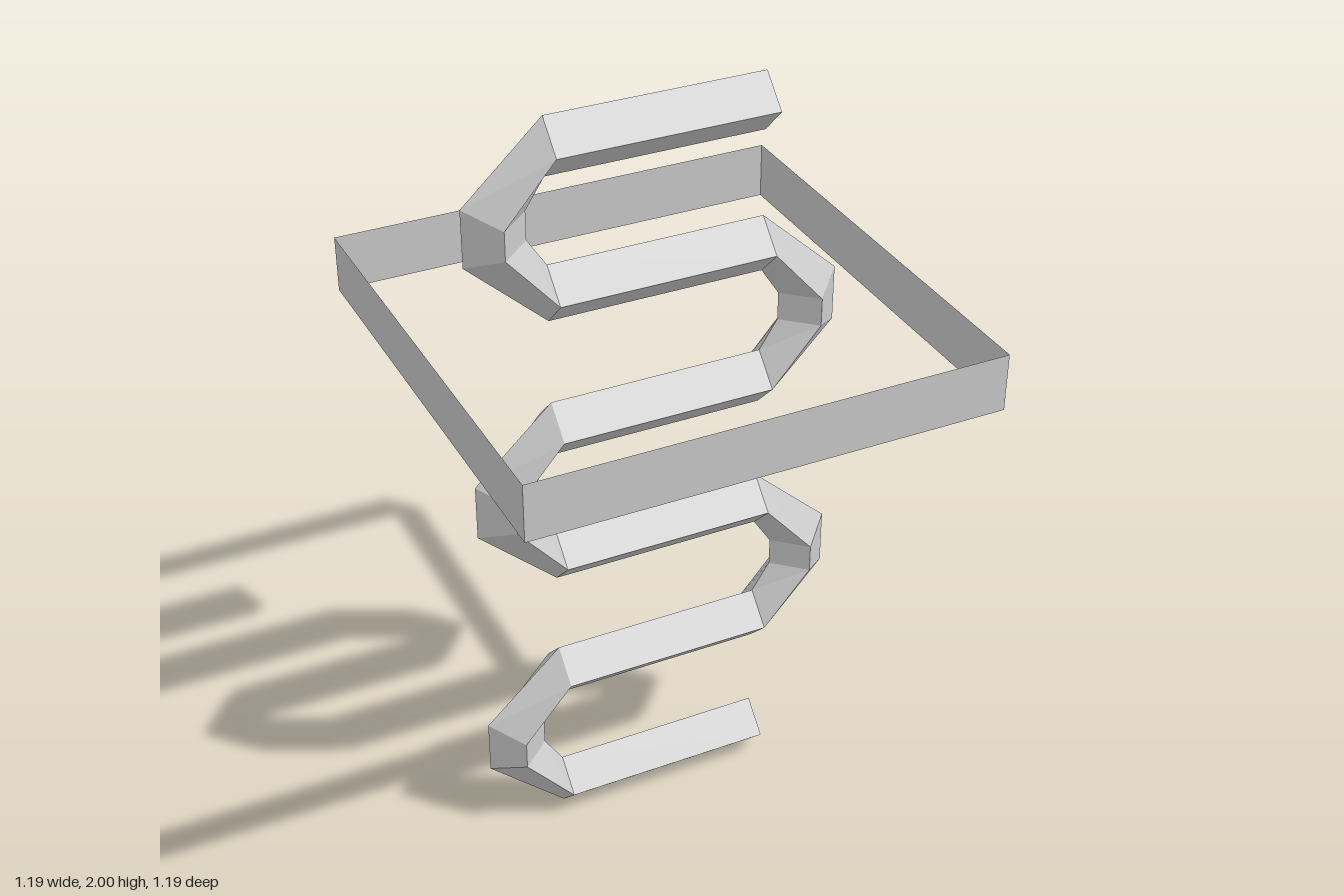
import * as THREE from 'three';

const R = 0.074;               // half-diagonal of the diamond section
const ROWS = 6;
const STEP = (2 - 2 * R) / (ROWS - 1);

// Diamond section: [left of travel, front, right of travel, back]
function section(left, mid, right) {
  return [
    [left[0], left[1], 0], [mid[0], mid[1], R],
    [right[0], right[1], 0], [mid[0], mid[1], -R],
  ];
}

// Sections along the winding bar, from the bottom row to the top one
function serpentineSections() {
  const rings = [];
  for (let i = 0; i < ROWS; i++) {
    const s = i % 2 ? 1 : -1;  // direction of travel along x
    const y = R + i * STEP;
    for (const x of [-s * 0.278, s * 0.278]) {
      rings.push(section([x, y + s * R], [x, y], [x, y - s * R]));
    }
    if (i === ROWS - 1) break;
    // two sections round the bend up to the next row
    for (const k of [-1, 1]) {
      const m = y + STEP / 2;
      const outer = [s * 0.481, m + k * 0.073];
      const mid = [s * 0.407, m + k * 0.037];
      const inner = [s * 0.326, m + k * 0.037];
      rings.push(s < 0 ? section(outer, mid, inner) : section(inner, mid, outer));
    }
  }
  return rings;
}

// Skin over the sections with closed ends
function loft(rings) {
  const pos = [];
  const quad = (a, b, c, d) => pos.push(...a, ...b, ...c, ...a, ...c, ...d);
  for (let i = 0; i < rings.length - 1; i++) {
    const a = rings[i], b = rings[i + 1];
    for (let j = 0; j < 4; j++) {
      const n = (j + 1) % 4;
      quad(a[j], a[n], b[n], b[j]);
    }
  }
  quad(...[...rings[0]].reverse());
  quad(...rings[rings.length - 1]);
  const geo = new THREE.BufferGeometry();
  geo.setAttribute('position', new THREE.Float32BufferAttribute(pos, 3));
  geo.computeVertexNormals();
  return geo;
}

export function createModel() {
  const group = new THREE.Group();
  group.name = 'serpentineWithFrame';

  // Winding diamond-section bar
  const bar = new THREE.Mesh(
    loft(serpentineSections()),
    new THREE.MeshStandardMaterial({ color: 0xcccccc, flatShading: true })
  );
  bar.name = 'serpentineBar';
  group.add(bar);

  // Thin square band around the bar
  const frame = new THREE.Group();
  frame.name = 'squareBand';
  const half = 0.594;
  const bandMaterial = new THREE.MeshStandardMaterial({
    color: 0xcccccc, flatShading: true, side: THREE.DoubleSide,
  });
  const wall = new THREE.PlaneGeometry(2 * half, 0.147);
  ['front', 'left', 'back', 'right'].forEach((side, i) => {
    const a = i * Math.PI / 2;
    const mesh = new THREE.Mesh(wall, bandMaterial);
    mesh.name = side + 'Wall';
    mesh.rotation.y = a;
    mesh.position.set(Math.sin(a) * half, 1.412, Math.cos(a) * half);
    frame.add(mesh);
  });
  group.add(frame);

  return group;
}
